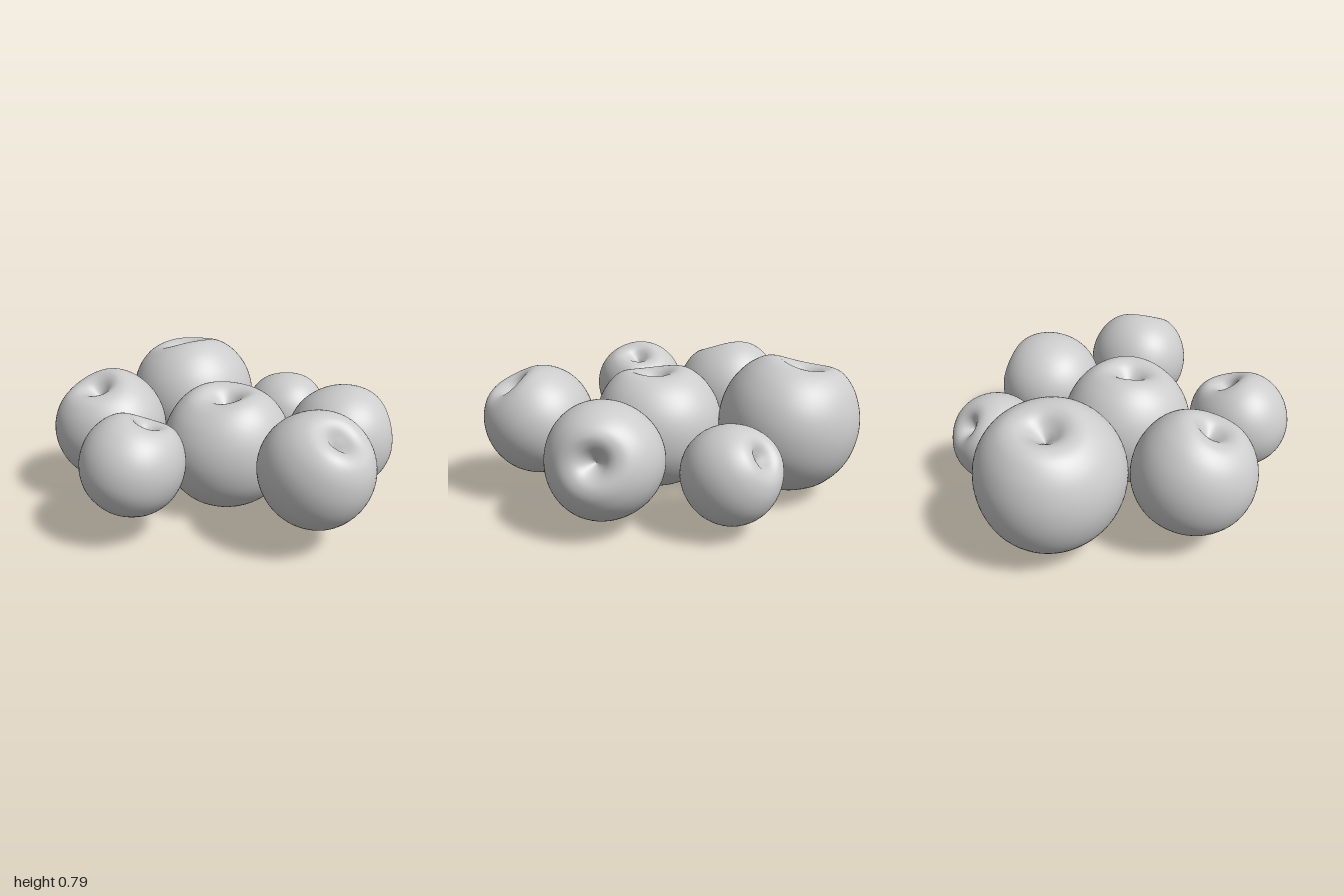
import * as THREE from 'three';
import { mergeVertices } from 'three/addons/utils/BufferGeometryUtils.js';

// Half outline of a fruit of radius 1: blossom end, belly, shoulder, stem hollow
const OUTLINE = [
  [0, -0.88], [0.05, -0.895], [0.17, -0.93], [0.42, -0.86], [0.72, -0.66], [0.93, -0.34],
  [1, 0.02], [0.95, 0.36], [0.8, 0.65], [0.6, 0.84], [0.42, 0.9],
  [0.27, 0.86], [0.14, 0.75], [0.05, 0.66], [0, 0.6],
].map(([x, y]) => new THREE.Vector2(x, y));

// Surface of revolution with slightly uneven shoulders and belly
function fruitGeometry(phase) {
  const points = new THREE.SplineCurve(OUTLINE).getPoints(70);
  points.forEach((p) => { p.x = Math.max(0, p.x); });
  points[0].x = points[points.length - 1].x = 0;
  let geometry = new THREE.LatheGeometry(points, 64);
  geometry.deleteAttribute('uv');
  geometry.deleteAttribute('normal');
  geometry = mergeVertices(geometry, 1e-4);

  const pos = geometry.attributes.position;
  for (let i = 0; i < pos.count; i++) {
    const x = pos.getX(i), y = pos.getY(i), z = pos.getZ(i);
    const r = Math.hypot(x, z);
    const a = Math.atan2(z, x) - phase;
    const shoulder = Math.max(0, y) * Math.min(1, r / 0.4);
    const lift = 0.03 * Math.cos(2 * a) + 0.02 * Math.cos(a);
    const swell = 1 + 0.012 * Math.cos(3 * a + 1) * r;
    pos.setXYZ(i, x * swell, y + shoulder * lift, z * swell);
  }
  geometry.computeVertexNormals();
  return geometry;
}

// name, centre, radius, direction of the stem hollow
const FRUITS = [
  ['centreFruit', [-0.035, 0.34, 0.022], 0.364, [-0.08, 1, 0.06]],
  ['frontFruit', [-0.105, 0.425, 0.688], 0.3, [-0.05, 0.8, 0.55]],
  ['frontLeftFruit', [0.44, 0.365, 0.46], 0.304, [0.83, 0.3, 0.42]],
  ['leftFruit', [0.688, 0.305, -0.112], 0.254, [0.62, 0.6, -0.47]],
  ['backLeftFruit', [0.33, 0.4, -0.613], 0.388, [0.02, 0.95, -0.24]],
  ['backRightFruit', [-0.383, 0.4, -0.57], 0.32, [-0.3, 0.93, -0.02]],
  ['rightFruit', [-0.675, 0.412, -0.057], 0.272, [0.36, 0.9, 0.15]],
];

export function createModel() {
  const group = new THREE.Group();
  group.name = 'fruitPile';
  const material = new THREE.MeshStandardMaterial({ color: 0xcccccc });
  const up = new THREE.Vector3(0, 1, 0);

  FRUITS.forEach(([name, centre, radius, axis], i) => {
    const fruit = new THREE.Mesh(fruitGeometry(Math.PI / 2 + i * 0.9), material);
    fruit.name = name;
    fruit.position.set(...centre);
    fruit.scale.setScalar(radius);
    fruit.quaternion.setFromUnitVectors(up, new THREE.Vector3(...axis).normalize());
    group.add(fruit);
  });
  return group;
}
